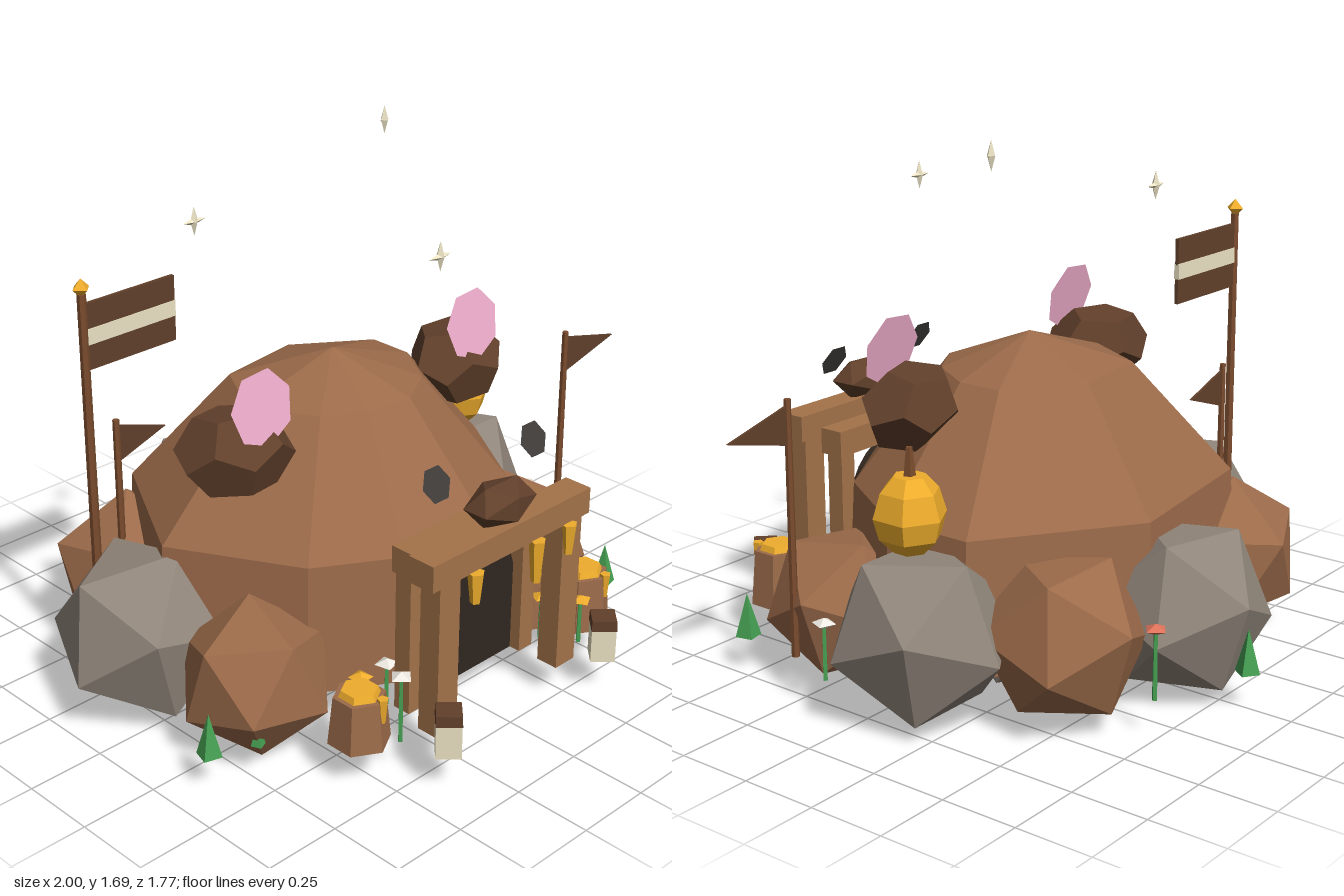
import * as THREE from 'three';

const C = { earth: 0x9c6b4a, dark: 0x61402b, wood: 0xa4734a, pole: 0x7a4c2e, rock: 0x90857a, gold: 0xefad2c,
  pink: 0xf0aecd, black: 0x30261f, coal: 0x3f3c3a, cream: 0xece3c4, green: 0x46a052, white: 0xeeeae2, red: 0xe0735a };

export function createModel() {
  const root = new THREE.Group();
  const mats = {};
  const mat = (c, double) => mats[c + (double ? 'd' : '')] ??= new THREE.MeshStandardMaterial({
    color: C[c], flatShading: true, side: double ? THREE.DoubleSide : THREE.FrontSide });
  const add = (name, geo, c, x, y, z, parent = root, double = false) => {
    const m = new THREE.Mesh(geo, mat(c, double));
    m.name = name;
    m.position.set(x, y, z);
    parent.add(m);
    return m;
  };
  const group = (name, x = 0, y = 0, z = 0) => {
    const g = new THREE.Group();
    g.name = name;
    g.position.set(x, y, z);
    root.add(g);
    return g;
  };
  const box = (w, h, d) => new THREE.BoxGeometry(w, h, d);
  const cyl = (a, b, h, n) => new THREE.CylinderGeometry(a, b, h, n);

  // Uneven faceted dome: scaled copies of one plan outline, closed by an apex
  const plan = [[-0.66, -0.05], [-0.44, 0.35], [-0.19, 0.5], [0.13, 0.545], [0.42, 0.37], [0.62, 0.05], [0.62, -0.25], [0.16, -0.575], [-0.42, -0.49]];
  const rings = [[1.04, 0.12], [1, 0.54], [0.5, 0.9]];
  const pos = [], idx = [], n = plan.length;
  rings.forEach(([s, y]) => plan.forEach(([x, z]) => pos.push(x * s - 0.03, y, z * s)));
  pos.push(-0.03, 1.005, 0, -0.03, 0.12, 0);
  for (let i = 0; i < n; i++) {
    const j = (i + 1) % n;
    for (let r = 0; r < 2; r++) {
      const a = r * n + i, b = r * n + j;
      idx.push(a, b, b + n, a, b + n, a + n);
    }
    idx.push(2 * n + i, 2 * n + j, 3 * n, j, i, 3 * n + 1);
  }
  const dome = new THREE.BufferGeometry();
  dome.setAttribute('position', new THREE.Float32BufferAttribute(pos, 3));
  dome.setIndex(idx);
  dome.computeVertexNormals();
  add('dome', dome, 'earth', 0, 0, 0);

  // Boulders around the foot
  [['rock', 0.645, 0.255, -0.13, 0.29], ['earth', 0.41, 0.25, -0.47, 0.265], ['rock', 0, 0.25, -0.61, 0.285],
    ['earth', -0.5, 0.24, -0.44, 0.265], ['rock', -0.715, 0.245, -0.12, 0.295], ['earth', -0.63, 0.22, 0.29, 0.245],
    ['earth', 0.545, 0.22, 0.28, 0.245]].forEach(([c, x, y, z, r], i) => {
    add('boulder', new THREE.IcosahedronGeometry(r, 0), c, x, y, z).rotation.set(i * 1.3 + 0.4, i * 0.9, i * 0.7);
  });
  // Foundation stones filling the underside
  for (let i = 0; i < 14; i++) {
    const outer = i < 9, a = (outer ? i / 9 : i / 5 + 0.1) * Math.PI * 2;
    const r = outer ? 0.17 + 0.02 * (i % 3) : 0.22;
    const [rx, rz] = outer ? [0.42, 0.35] : [0.17, 0.14];
    add('foundationStone', new THREE.IcosahedronGeometry(r, 0), 'rock',
      rx * Math.cos(a) - 0.02, outer ? r * 0.98 : 0.245, rz * Math.sin(a)).rotation.set(i * 1.1, i * 0.7, i);
  }

  // Ears, eyes and nose
  for (const s of [-1, 1]) {
    const ear = add('ear', new THREE.DodecahedronGeometry(1, 0), 'dark', s * 0.475 - 0.04, 0.85, 0.09);
    ear.scale.set(0.185, 0.135, 0.155);
    ear.rotation.set(0.35, s * 0.3, s * -0.12);
    add('innerEar', new THREE.CircleGeometry(0.118, 7), 'pink', s * 0.45 - 0.035, 1.005, 0.18, root, true).rotation.set(-0.2, 0, 0.3);
    add('eye', new THREE.CircleGeometry(0.057, 6), 'coal', s * 0.21 - 0.035, 0.845, 0.645, root, true).rotation.x = -0.45;
  }
  add('nose', new THREE.IcosahedronGeometry(1, 0), 'dark', -0.035, 0.735, 0.705).scale.set(0.132, 0.073, 0.083);

  // Doorway: dark arch, inner frame, porch frame and honey drips
  const arch = new THREE.Shape();
  arch.moveTo(-0.225, 0);
  arch.lineTo(0.225, 0);
  arch.lineTo(0.225, 0.255);
  arch.absarc(0, 0.255, 0.225, 0, Math.PI, false);
  arch.lineTo(-0.225, 0);
  add('doorOpening', new THREE.ExtrudeGeometry(arch, { depth: 0.03, bevelEnabled: false, curveSegments: 7 }), 'black', -0.035, 0.09, 0.55);
  add('innerLintel', box(0.58, 0.085, 0.085), 'wood', -0.03, 0.595, 0.588);
  add('porchLintel', box(0.69, 0.085, 0.095), 'wood', -0.035, 0.635, 0.717);
  for (const s of [-1, 1]) {
    add('innerPost', box(0.06, 0.47, 0.06), 'wood', -0.035 + s * 0.25, 0.325, 0.588);
    add('porchPost', box(0.085, 0.51, 0.075), 'wood', -0.035 + s * 0.27, 0.345, 0.725);
  }
  [[-0.205, 0.1], [0.065, 0.14], [0.21, 0.1]].forEach(([x, h]) =>
    add('honeyDrip', cyl(0.027, 0.016, h, 5), 'gold', x, 0.595 - h / 2, 0.77));

  // Honey pots
  [[-0.52, 0.615, 0.155], [0.37, 0.52, 0.18], [0.46, 0.64, 0.18]].forEach(([x, z, h]) => {
    const g = group('honeyPot', x, 0.1, z);
    add('pot', cyl(0.08, 0.096, h, 6), 'earth', 0, h / 2, 0, g);
    add('honey', cyl(0.056, 0.068, 0.03, 6), 'gold', 0, h + 0.005, 0, g);
    add('overflow', cyl(0.018, 0.01, 0.08, 5), 'gold', 0.02, h - 0.03, 0.075, g);
  });

  // Square lanterns beside the path
  [[-0.372, 0.83], [0.35, 0.815]].forEach(([x, z]) => {
    const g = group('lantern', x, 0.09, z);
    add('lanternBody', cyl(0.054, 0.054, 0.11, 4), 'cream', 0, 0.055, 0, g);
    add('lanternCap', cyl(0.054, 0.056, 0.035, 4), 'dark', 0, 0.1275, 0, g);
  });

  // Hive with stalk and entrance
  const hive = [[0, -0.11], [0.05, -0.11], [0.095, -0.065], [0.113, 0], [0.09, 0.075], [0.05, 0.12], [0, 0.12]];
  add('hive', new THREE.LatheGeometry(hive.map(p => new THREE.Vector2(...p)), 6), 'gold', 0.66, 0.61, -0.1);
  add('hiveStalk', cyl(0.01, 0.022, 0.11, 5), 'pole', 0.66, 0.76, -0.1);
  add('hiveEntrance', new THREE.IcosahedronGeometry(0.045, 0), 'gold', 0.53, 0.6, -0.075);

  // Banner and pennants
  const banner = group('banner', -0.755, 0, -0.29);
  add('bannerPole', cyl(0.014, 0.016, 1.2, 6), 'pole', 0, 0.7, 0, banner);
  add('finial', new THREE.OctahedronGeometry(0.03, 0), 'gold', 0, 1.318, 0, banner);
  add('bannerCloth', box(0.33, 0.21, 0.012), 'dark', 0.175, 1.163, 0, banner);
  add('bannerStripe', box(0.33, 0.05, 0.018), 'cream', 0.175, 1.163, 0, banner);
  [[0.755, 0.285, 0.91, 0.235], [-0.61, -0.35, 0.83, 0.18]].forEach(([x, z, top, len]) => {
    const g = group('pennant', x, 0, z);
    add('pennantPole', cyl(0.011, 0.013, top - 0.1, 6), 'pole', 0, (top + 0.1) / 2, 0, g);
    const tri = new THREE.Shape([[0, 0.06], [0, -0.06], [len, 0]].map(p => new THREE.Vector2(...p)));
    add('pennantCloth', new THREE.ExtrudeGeometry(tri, { depth: 0.008, bevelEnabled: false }), 'dark', 0.01, top - 0.08, -0.004, g);
  });

  // Flowers
  [['white', -0.43, 0.31, 0.695], ['white', -0.32, 0.23, 0.53], ['white', 0.81, 0.27, 0.11], ['red', 0.33, 0.31, -0.735],
    ['gold', -0.46, 0.26, 0.56], ['gold', 0.295, 0.24, 0.61], ['gold', 0.365, 0.24, 0.71]].forEach(([c, x, y, z], i) => {
    const g = group('flower', x, 0, z);
    add('stem', cyl(0.007, 0.009, y - 0.09, 4), 'green', 0, (y + 0.09) / 2, 0, g);
    const head = add('petals', new THREE.OctahedronGeometry(0.038, 0), c, 0, y, 0, g);
    head.scale.y = 0.45;
    head.rotation.y = i;
  });

  // Grass tufts
  [[-0.875, 0.36, 0.14], [-0.74, 0.42, 0.08], [0.6, 0.48, 0.08], [0.715, 0.53, 0.14], [0, -0.845, 0.14]].forEach(([x, z, h], i) =>
    add('grass', new THREE.ConeGeometry(h * 0.29, h, 4), 'green', x, 0.09 + h / 2, z).rotation.y = i * 0.7 + 0.5);

  // Floating sparkles
  [[-0.37, 1.44, -0.235, 0.045], [-0.065, 1.44, 0.475, 0.045], [0.355, 1.615, -0.16, 0.02]].forEach(([x, y, z, w]) => {
    const g = group('sparkle', x, y, z);
    add('ray', new THREE.OctahedronGeometry(1, 0), 'cream', 0, 0, 0, g).scale.set(0.015, 0.046, 0.015);
    add('crossRay', new THREE.OctahedronGeometry(1, 0), 'cream', 0, 0, 0, g).scale.set(w, 0.012, 0.012);
  });
  return root;
}
